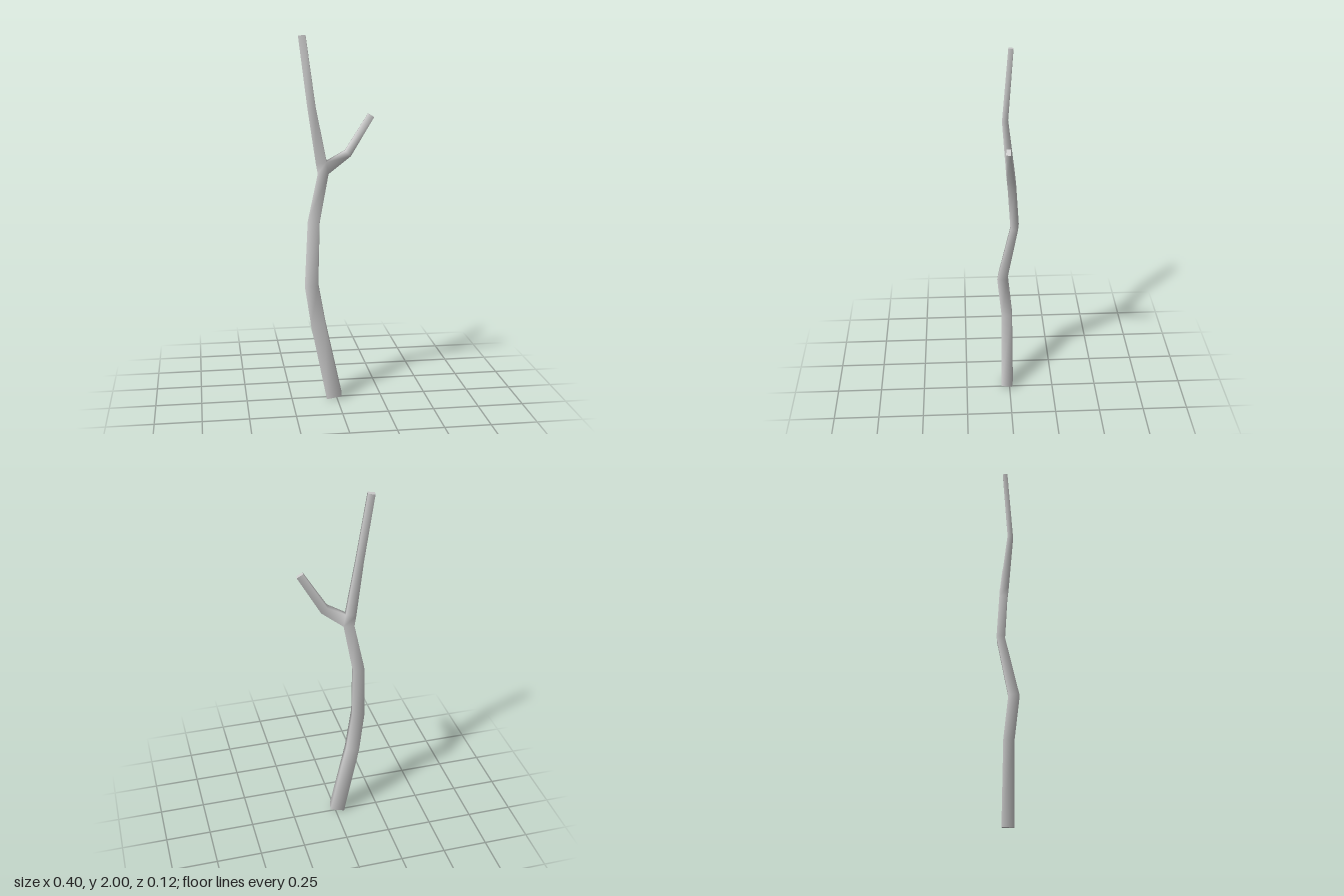
import * as THREE from 'three';

// Sections: centre x, y, z, then half width and half depth
const LOWER_TRUNK = [
  [-0.013, 0.011, 0.013, 0.041, 0.031],
  [-0.102, 0.44, 0.01, 0.038, 0.027],
  [-0.14, 0.665, 0.033, 0.035, 0.028],
  [-0.119, 1.0, -0.034, 0.032, 0.021],
  [-0.068, 1.27, -0.016, 0.029, 0.021],
];
const UPPER_TRUNK = [
  [-0.08, 1.33, -0.01, 0.028, 0.021],
  [-0.133, 1.62, 0.017, 0.021, 0.015],
  [-0.179, 1.997, -0.016, 0.019, 0.013],
];
const TWIG = [
  [0.063, 1.378, -0.004, 0.022, 0.02],
  [0.184, 1.58, 0.014, 0.019, 0.012],
];
const TWIG_ROOT = [-0.045, 1.3, -0.013];

const vec = (s) => new THREE.Vector3(s[0], s[1], s[2]);

// Four corners of a section, square to the direction of growth
function corners(section, before, after) {
  const centre = vec(section);
  const tangent = new THREE.Vector3();
  if (before) tangent.add(centre.clone().sub(vec(before)).normalize());
  if (after) tangent.add(vec(after).sub(centre).normalize());
  tangent.normalize();
  const u = new THREE.Vector3(1, 0, 0.12).projectOnPlane(tangent).normalize();
  const v = new THREE.Vector3(-0.18, 0, 1).projectOnPlane(tangent).normalize();
  return [[1, 1], [1, -1], [-1, -1], [-1, 1]].map(([a, b]) =>
    centre.clone().addScaledVector(u, a * section[3]).addScaledVector(v, b * section[4]));
}

function makeMesh(name, points, index, material) {
  const geometry = new THREE.BufferGeometry().setFromPoints(points);
  geometry.setIndex(index);
  geometry.computeVertexNormals();
  const mesh = new THREE.Mesh(geometry, material);
  mesh.name = name;
  return mesh;
}

export function createModel() {
  const group = new THREE.Group();
  group.name = 'forkedBranch';
  const material = new THREE.MeshStandardMaterial({ color: 0xcccccc });

  const points = [];
  const index = [];
  const addRing = (ring) => ring.map((p) => points.push(p) - 1);
  const join = (low, high, sides = [0, 1, 2, 3]) => {
    for (const i of sides) {
      const j = (i + 1) % 4;
      index.push(low[i], low[j], high[j], low[i], high[j], high[i]);
    }
  };

  // Trunk, leaving one side open at the fork
  const trunk = [...LOWER_TRUNK, ...UPPER_TRUNK];
  const rings = trunk.map((s, i) => addRing(corners(s, trunk[i - 1], trunk[i + 1])));
  const fork = LOWER_TRUNK.length - 1;
  for (let i = 0; i < rings.length - 1; i++) {
    join(rings[i], rings[i + 1], i === fork ? [1, 2, 3] : undefined);
  }

  // Twig grows out of the open side
  const low = rings[fork];
  const high = rings[fork + 1];
  let previous = [low[0], low[1], high[1], high[0]];
  TWIG.forEach((s, i) => {
    const ring = addRing(corners(s, TWIG[i - 1] || TWIG_ROOT, TWIG[i + 1]));
    join(previous, ring);
    previous = ring;
  });
  group.add(makeMesh('bark', points, index, material));

  // Flat cut ends
  const up = [0, 1, 2, 0, 2, 3];
  const down = [0, 2, 1, 0, 3, 2];
  const pick = (ring) => ring.map((i) => points[i]);
  group.add(makeMesh('trunkBase', pick(rings[0]), down, material));
  group.add(makeMesh('trunkTip', pick(rings[rings.length - 1]), up, material));
  group.add(makeMesh('twigTip', pick(previous), up, material));
  return group;
}
